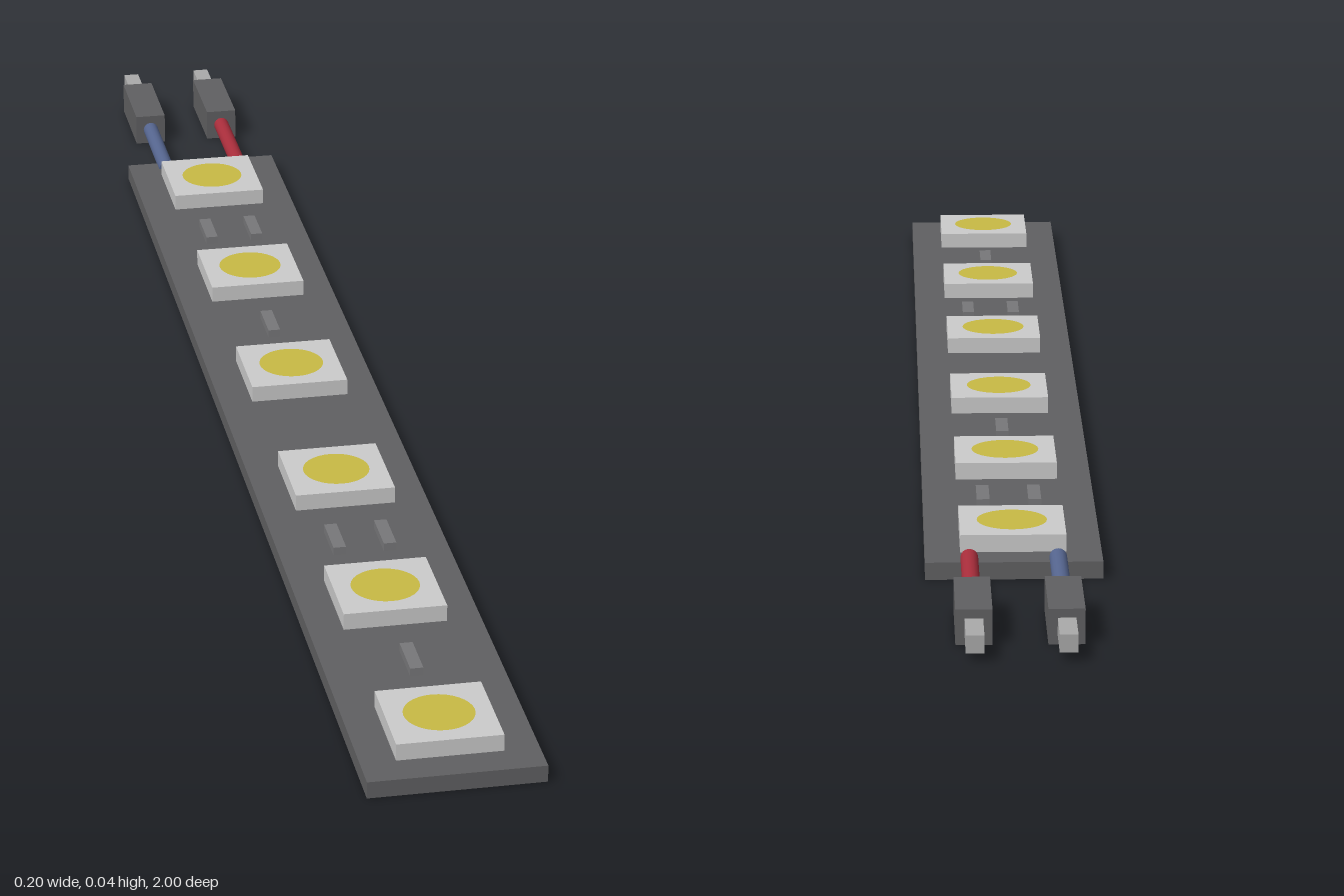
import * as THREE from 'three';

const paint = (color) => new THREE.MeshStandardMaterial({ color });

export function createModel() {
  const model = new THREE.Group();
  model.name = 'ledStrip';

  const dark = paint(0x606062);
  const housing = paint(0xcccccc);
  const yellow = paint(0xc8ba45);
  const metal = paint(0xaaaaaa);
  const chip = paint(0x78787a);

  const add = (parent, name, geometry, material, x, y, z) => {
    const mesh = new THREE.Mesh(geometry, material);
    mesh.name = name;
    mesh.position.set(x, y, z);
    parent.add(mesh);
    return mesh;
  };

  // Flat circuit board
  add(model, 'board', new THREE.BoxGeometry(0.2, 0.02, 1.7), dark, 0, 0.01, 0.15);

  // Six square lamps, each with a round lens on top
  const lampGeo = new THREE.BoxGeometry(0.12, 0.02, 0.12);
  const lensGeo = new THREE.CircleGeometry(0.04, 32).rotateX(-Math.PI / 2);
  for (let i = 0; i < 6; i++) {
    const lamp = new THREE.Group();
    lamp.name = 'lamp';
    lamp.position.z = -0.6 + i * 0.3;
    add(lamp, 'lampHousing', lampGeo, housing, 0, 0.03, 0);
    add(lamp, 'lens', lensGeo, yellow, 0, 0.0406, 0);
    model.add(lamp);
  }

  // Resistors: a pair, then a single one, repeated along the board
  const resistorGeo = new THREE.BoxGeometry(0.015, 0.01, 0.06);
  for (const z of [-0.45, 0.45]) {
    for (const [x, dz] of [[-0.03, 0], [0.03, 0], [0, 0.3]]) {
      add(model, 'resistor', resistorGeo, chip, x, 0.025, z + dz);
    }
  }

  // Two wires with plugs and square pins at the back
  const wireGeo = new THREE.CylinderGeometry(0.01, 0.01, 0.16, 16).rotateX(Math.PI / 2);
  const plugGeo = new THREE.BoxGeometry(0.04, 0.04, 0.12);
  const pinGeo = new THREE.BoxGeometry(0.02, 0.02, 0.06);
  for (const [side, x, color] of [['left', 0.05, 0xaa2e3c], ['right', -0.05, 0x566690]]) {
    const lead = new THREE.Group();
    lead.name = side + 'Lead';
    lead.position.set(x, 0.02, 0);
    add(lead, 'wire', wireGeo, paint(color), 0, 0, -0.76);
    add(lead, 'plug', plugGeo, dark, 0, 0, -0.88);
    add(lead, 'pin', pinGeo, metal, 0, 0, -0.97);
    model.add(lead);
  }

  return model;
}
